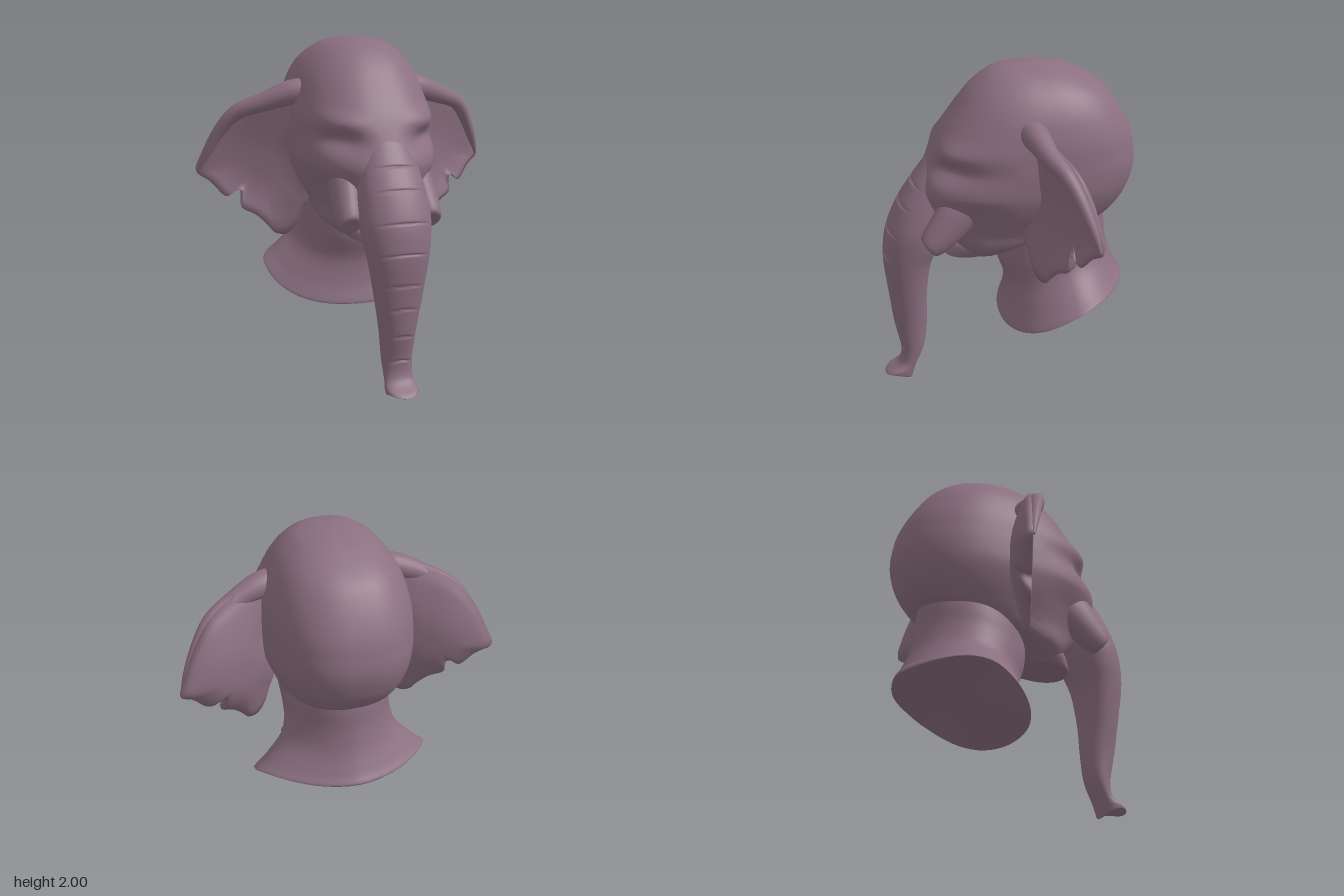
import * as THREE from 'three';

const skin = new THREE.MeshStandardMaterial({ color: 0x8c7080 });
skin.name = 'mauve skin';

// Smoothly interpolates every column of a table of rows
function spline(rows, n) {
  const at = (i) => rows[Math.max(0, Math.min(rows.length - 1, i))];
  const out = [];
  for (let k = 0; k <= n; k++) {
    const u = (k / n) * (rows.length - 1);
    const i = Math.min(Math.floor(u), rows.length - 2), t = u - i;
    out.push(rows[0].map((_, c) => {
      const [a, b, d, e] = [at(i - 1)[c], at(i)[c], at(i + 1)[c], at(i + 2)[c]];
      return b + 0.5 * t * (d - a + t * (2 * a - 5 * b + 4 * d - e + t * (3 * (b - d) + e - a)));
    }));
  }
  return out;
}

// Skins a stack of closed rings, with hard-edged end caps, facing outward
function loft(rings) {
  const n = rings[0].length, pos = rings.flat(2), idx = [];
  for (let k = 0; k < rings.length - 1; k++) {
    for (let i = 0; i < n; i++) {
      const a = k * n + i, b = k * n + (i + 1) % n;
      idx.push(a, a + n, b, b, a + n, b + n);
    }
  }
  [rings[0], rings[rings.length - 1]].forEach((ring, end) => {
    const base = pos.length / 3;
    const mid = [0, 1, 2].map((c) => ring.reduce((s, p) => s + p[c], 0) / n);
    pos.push(...ring.flat(), ...mid);
    for (let i = 0; i < n; i++) {
      const a = base + i, b = base + (i + 1) % n;
      if (end) idx.push(a, base + n, b);
      else idx.push(a, b, base + n);
    }
  });
  // Turn the faces round if the enclosed volume is negative
  let volume = 0;
  const v = (i) => new THREE.Vector3().fromArray(pos, i * 3);
  for (let i = 0; i < idx.length; i += 3) volume += v(idx[i]).dot(v(idx[i + 1]).cross(v(idx[i + 2])));
  if (volume < 0) idx.reverse();
  const geo = new THREE.BufferGeometry();
  geo.setAttribute('position', new THREE.Float32BufferAttribute(pos, 3));
  geo.setIndex(idx);
  geo.computeVertexNormals();
  return geo;
}

// Roughly horizontal oval: front and back heights, front and back depths, half width
function oval([yf, yb, zf, zb, w], frontPower = 1, backPower = frontPower, n = 56) {
  return Array.from({ length: n }, (_, i) => {
    const a = (i / n) * Math.PI * 2, c = Math.cos(a), s = Math.sin(a);
    const soft = (q) => Math.sign(q) * Math.abs(q) ** (s > 0 ? frontPower : backPower);
    const f = (soft(s) + 1) / 2;
    return [w * soft(c), yb + (yf - yb) * f, zb + (zf - zb) * f];
  });
}

const bump = (d, size) => Math.exp(-((d / size) ** 2));
const clamp01 = (t) => Math.max(0, Math.min(1, t));

function headRings() {
  // height, half width, front, back
  const rows = [
    [2, 0.01, -0.14, -0.16], [1.985, 0.11, 0, -0.29], [1.95, 0.205, 0.1, -0.4],
    [1.87, 0.295, 0.2, -0.55], [1.76, 0.36, 0.29, -0.645], [1.62, 0.4, 0.39, -0.72],
    [1.5, 0.412, 0.45, -0.75], [1.4, 0.415, 0.49, -0.757], [1.3, 0.41, 0.52, -0.735],
    [1.2, 0.38, 0.51, -0.69], [1.1, 0.335, 0.46, -0.6], [1.04, 0.31, 0.41, -0.45],
    [0.95, 0.28, 0.32, -0.12], [0.88, 0.2, 0.27, 0.03],
  ];
  return spline(rows, 80).map(([y, w, zf, zb]) => {
    return oval([y, y, zf, zb, w], 0.84, 0.8, 72).map(([x, py, z]) => {
      if (z < 0.02) return [x, py, z];
      // Brow ridge above, eye hollow below, cheeks drawn in under the cheekbone
      const side = bump(Math.abs(x) - 0.26, 0.11);
      const push = side * (0.03 * bump(y - 1.55, 0.06) - 0.05 * bump(y - 1.45, 0.06));
      const sink = 0.1 * clamp01((1.3 - y) / 0.12) * clamp01((z - 0.02) / 0.2);
      return [x * (1 - sink) + Math.sign(x) * push * 0.4, py, z + push];
    });
  });
}

function trunkRings() {
  const rows = [
    [1.52, 1.52, 0.42, 0.2, 0.12], [1.42, 1.42, 0.495, 0.24, 0.145], [1.33, 1.33, 0.56, 0.28, 0.165],
    [1.2, 1.2, 0.645, 0.32, 0.19],
    [1.05, 1.05, 0.71, 0.36, 0.205], [0.93, 0.93, 0.735, 0.4, 0.195], [0.8, 0.8, 0.738, 0.455, 0.172],
    [0.6, 0.6, 0.715, 0.485, 0.138], [0.4, 0.4, 0.69, 0.49, 0.105], [0.22, 0.24, 0.655, 0.51, 0.09],
    [0.12, 0.12, 0.67, 0.56, 0.085], [0.06, 0.04, 0.745, 0.585, 0.095], [0.045, 0.005, 0.755, 0.6, 0.085],
    [0.08, 0.07, 0.7, 0.63, 0.04],
  ];
  const creases = [1.33, 1.21, 1.04, 0.87, 0.69, 0.55, 0.385, 0.235];
  return spline(rows, 300).map((row) => oval(row, 0.92).map(([x, y, z]) => {
    const front = (z - row[3]) / (row[2] - row[3]);
    const across = Math.abs(x) / row[4];
    // Lips at the tip rise toward the sides
    const lip = 0.028 * across * across * clamp01((0.14 - y) / 0.1);
    // Arched creases across the front
    const arch = y + 0.03 * across * across;
    const reach = front > 0.5 ? Math.max(0, 1 - (across / 0.85) ** 2) : 0;
    const depth = creases.reduce((s, c) => s + bump(arch - c, 0.005), 0);
    return [x, y + lip, z - 0.011 * depth * reach];
  }));
}

function neckRings() {
  const rows = [
    [1.08, 1.2, 0.06, -0.58, 0.28], [0.92, 1.08, 0.06, -0.6, 0.295], [0.8, 0.95, 0.05, -0.61, 0.305],
    [0.66, 0.82, 0.005, -0.64, 0.34], [0.52, 0.71, 0.01, -0.69, 0.44],
    [0.41, 0.665, 0.035, -0.72, 0.515], [0.39, 0.65, 0.035, -0.72, 0.51],
  ];
  return spline(rows, 36).map((row, k) => oval(row, 0.95, 1 + 0.25 * (k / 36), 64).map(([x, y, z]) => {
    const f = (z - row[3]) / (row[2] - row[3]);
    return [x, y + 0.085 * (k / 36) * Math.sin(Math.PI * f ** 0.8) ** 2, z];
  }));
}

function jawRings() {
  return spline([
    [1.0, 1.0, 0.24, -0.08, 0.23], [0.94, 0.94, 0.33, -0.06, 0.21], [0.885, 0.9, 0.365, -0.02, 0.18],
    [0.85, 0.87, 0.37, 0.02, 0.14], [0.86, 0.875, 0.3, 0.05, 0.07],
  ], 20).map((r) => oval(r, 0.9));
}

// Slanted oval sections along a path: x, y, z, x radius, y radius
function socketRings() {
  return spline([
    [0.2, 1.29, 0.2, 0.09, 0.1], [0.215, 1.18, 0.32, 0.092, 0.1], [0.23, 1.07, 0.42, 0.083, 0.082],
    [0.238, 1.01, 0.48, 0.071, 0.064], [0.24, 0.997, 0.498, 0.052, 0.045], [0.24, 0.997, 0.495, 0.015, 0.015],
  ], 24).map(([x, y, z, rx, ry]) => Array.from({ length: 28 }, (_, i) => {
    const a = (i / 28) * Math.PI * 2, py = ry * Math.sin(a);
    return [x + rx * Math.cos(a), y + py, z + 0.75 * py];
  }));
}

// Cupped ear blade: front face from its middle to the edge, then back again
function earRings() {
  const edge = [
    [0.34, 1.74], [0.55, 1.68], [0.71, 1.605], [0.8, 1.5], [0.89, 1.32], [0.925, 1.2], [0.85, 1.14],
    [0.76, 1.05], [0.715, 1.085], [0.68, 1.09], [0.682, 0.99], [0.6, 0.94], [0.54, 0.88], [0.5, 0.835],
    [0.44, 0.83], [0.39, 0.88], [0.35, 0.98], [0.32, 1.04], [0.32, 1.13], [0.35, 1.25], [0.34, 1.45],
  ];
  const curve = new THREE.CatmullRomCurve3(edge.map(([x, y]) => new THREE.Vector3(x, y, 0)), true);
  const outline = curve.getPoints(110).slice(0, -1);
  const rings = [];
  for (let k = -16; k <= 16; k++) {
    const s = Math.max(0.01, 1 - Math.abs(k) / 16);
    rings.push(outline.map((p) => {
      // The outline softens into a circle toward the middle
      const dx = p.x - 0.55, dy = p.y - 1.25, keep = s ** 3;
      const scale = s * (keep + (1 - keep) * 0.28 / Math.hypot(dx, dy));
      const x = 0.55 + dx * scale, y = 1.25 + dy * scale, cup = 1 - s ** 3;
      const middle = -0.08 - 0.5 * (x - 0.38) - 0.085 * cup;
      const half = 0.006 + 0.036 * Math.sqrt(cup);
      return [x, y, middle + half * -Math.sign(k)];
    }));
  }
  return rings;
}

// Rolled fold along the upper edge of the ear
function foldRings() {
  const rows = spline([
    [0.26, 1.69, -0.07, 0.075], [0.4, 1.68, -0.1, 0.075], [0.56, 1.625, -0.14, 0.056],
    [0.7, 1.565, -0.2, 0.044], [0.79, 1.46, -0.255, 0.036], [0.87, 1.31, -0.31, 0.026], [0.915, 1.2, -0.34, 0.008],
  ], 40);
  return rows.map(([x, y, z, r], k) => {
    const a = rows[Math.max(0, k - 1)], b = rows[Math.min(40, k + 1)];
    const along = new THREE.Vector3(b[0] - a[0], b[1] - a[1], b[2] - a[2]).normalize();
    const up = new THREE.Vector3(0, 0, 1).cross(along).normalize();
    const out = along.clone().cross(up);
    return Array.from({ length: 20 }, (_, i) => {
      const t = (i / 20) * Math.PI * 2;
      return new THREE.Vector3(x, y, z).addScaledVector(up, r * Math.cos(t)).addScaledVector(out, r * Math.sin(t)).toArray();
    });
  });
}

export function createModel() {
  const model = new THREE.Group();
  model.name = 'elephantHead';
  const add = (name, rings) => {
    const mesh = new THREE.Mesh(loft(rings), skin);
    mesh.name = name;
    model.add(mesh);
  };
  const addPair = (name, rings) => {
    add('left' + name, rings);
    add('right' + name, rings.map((ring) => ring.map(([x, y, z]) => [-x, y, z])));
  };
  add('head', headRings());
  add('trunk', trunkRings());
  add('neck', neckRings());
  add('lowerJaw', jawRings());
  addPair('TuskSocket', socketRings());
  addPair('Ear', earRings());
  addPair('EarFold', foldRings());
  return model;
}
